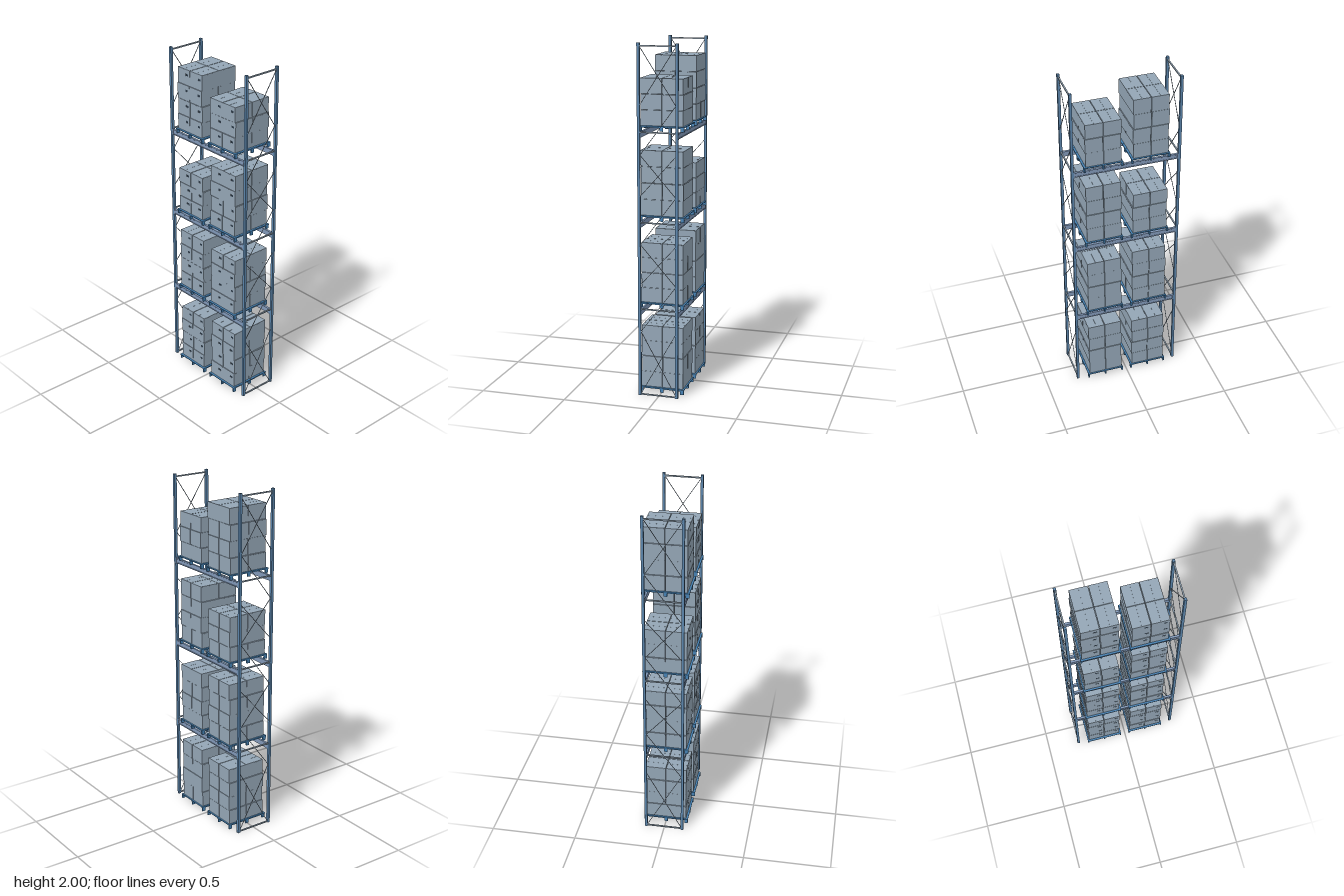
import * as THREE from 'three';

const paint = (color) => new THREE.MeshStandardMaterial({ color });
const postPaint = paint(0x5b84aa);
const beamPaint = paint(0x8198b8);
const tiePaint = paint(0x93a5b5);
const cartonPaint = paint(0x93a5b5);
const slotPaint = paint(0x2c3a48);
const palletPaint = paint(0x4682b4);

// Basic helpers
function box(parent, name, material, w, h, d, x, y, z) {
  const mesh = new THREE.Mesh(new THREE.BoxGeometry(w, h, d), material);
  mesh.name = name;
  mesh.position.set(x, y, z);
  parent.add(mesh);
  return mesh;
}

const toPoints = (list) => list.map(([x, y]) => new THREE.Vector2(x, y));

function brace(parent, name, x, y0, z0, y1, z1, t) {
  const length = Math.hypot(y1 - y0, z1 - z0);
  const bar = box(parent, name, tiePaint, t, length, t, x, (y0 + y1) / 2, (z0 + z1) / 2);
  bar.rotation.x = Math.atan2(z1 - z0, y1 - y0);
}

// Small seeded generator for the uneven stacking
function seeded(seed) {
  let s = seed;
  return () => {
    s = (s * 16807) % 2147483647;
    return s / 2147483647 - 0.5;
  };
}

const BEAM_TOPS = [0.505, 1.01, 1.515];
const POST_Z = 0.1085;
const POST_X = 0.3065;

// End frame: two posts, horizontal ties, crossed and single diagonals
function createEndFrame(side) {
  const frame = new THREE.Group();
  frame.name = side > 0 ? 'leftEndFrame' : 'rightEndFrame';
  const x = side * POST_X;
  const z = 0.102;
  for (const sz of [-1, 1]) {
    box(frame, 'uprightPost', postPaint, 0.015, 2, 0.015, x, 1, sz * POST_Z);
  }
  for (const y of [0.006, 0.513, 1.012, 1.517, 1.984]) {
    box(frame, 'horizontalTie', tiePaint, 0.008, 0.007, 2 * z, x, y, 0);
  }
  for (const [y0, y1] of [[0.01, 0.38], [0.655, 0.885], [1.16, 1.39], [1.665, 1.98]]) {
    brace(frame, 'crossBrace', x - 0.0015, y0, -z, y1, z, 0.003);
    brace(frame, 'crossBrace', x + 0.0015, y0, z, y1, -z, 0.003);
  }
  for (const y of [0.38, 0.885, 1.39]) {
    brace(frame, 'diagonalBrace', x, y, z, y + 0.275, -z, 0.003);
  }
  return frame;
}

// Load beam with a shallow recess along its outer face and end connectors
function createBeam(top, sz) {
  const beam = new THREE.Group();
  beam.name = 'loadBeam';
  const profile = new THREE.Shape(toPoints([[-0.0065, -0.03], [0.0065, -0.03], [0.0065, -0.025],
    [0.0055, -0.024], [0.0055, -0.006], [0.0065, -0.005], [0.0065, 0], [-0.0065, 0]]));
  const geo = new THREE.ExtrudeGeometry(profile, { depth: 0.598, bevelEnabled: false });
  geo.translate(0, 0, -0.299);
  geo.rotateY(-Math.PI / 2);
  const rail = new THREE.Mesh(geo, beamPaint);
  rail.name = 'beamRail';
  if (sz < 0) rail.rotation.y = Math.PI;
  beam.add(rail);
  for (const s of [-1, 1]) {
    box(beam, 'beamConnector', beamPaint, 0.006, 0.034, 0.0145, s * 0.296, -0.015, 0);
  }
  beam.position.set(0, top, sz * 0.109);
  return beam;
}

// Pallet: slatted deck on three bearers with nine feet
function createPallet() {
  const pallet = new THREE.Group();
  pallet.name = 'pallet';
  const slats = 11;
  const pitch = 0.264 / slats;
  for (let i = 0; i < slats; i++) {
    const z = -0.132 + pitch * (i + 0.5);
    box(pallet, 'deckSlat', palletPaint, 0.221, 0.004, pitch - 0.0006, 0, 0.026, z);
  }
  for (const x of [-0.106, 0, 0.106]) {
    box(pallet, 'bearer', palletPaint, 0.008, 0.004, 0.264, x, 0.022, 0);
    for (const z of [-0.121, 0, 0.121]) {
      box(pallet, 'palletFoot', palletPaint, 0.008, 0.02, 0.02, x, 0.01, z);
    }
  }
  return pallet;
}

// Carton: body, two top flaps meeting in the middle, front panel with a hand slot
const CARTON_W = 0.0995;
const CARTON_D = 0.1205;
function createCarton(h) {
  const carton = new THREE.Group();
  carton.name = 'carton';
  const flap = 0.003;
  const panel = 0.004;
  const bodyH = h - flap;
  box(carton, 'cartonBody', cartonPaint, CARTON_W, bodyH, CARTON_D - panel, 0, bodyH / 2, -panel / 2);
  for (const s of [-1, 1]) {
    box(carton, 'topFlap', cartonPaint, CARTON_W / 2 - 0.0006, flap, CARTON_D,
      s * CARTON_W / 4, bodyH + flap / 2, 0);
  }
  const w = CARTON_W / 2;
  const face = new THREE.Shape(toPoints([[-w, 0], [w, 0], [w, bodyH], [-w, bodyH]]));
  const [x0, x1, y0, y1] = [0.016, 0.036, h * 0.59, h * 0.59 + 0.012];
  face.holes.push(new THREE.Path(toPoints([[x0, y0], [x0, y1], [x1, y1], [x1, y0]])));
  const front = new THREE.Mesh(
    new THREE.ExtrudeGeometry(face, { depth: panel, bevelEnabled: false }), cartonPaint);
  front.name = 'slottedPanel';
  front.position.z = CARTON_D / 2 - panel;
  carton.add(front);
  box(carton, 'handSlot', slotPaint, x1 - x0, y1 - y0, 0.003,
    (x0 + x1) / 2, (y0 + y1) / 2, CARTON_D / 2 - 0.0025);
  return carton;
}

// Loaded pallet: layers of two by two cartons, shifted to and fro per layer
function createLoad(layers, h, seed) {
  const load = new THREE.Group();
  load.name = 'loadedPallet';
  load.add(createPallet());
  const rand = seeded(seed);
  const gap = 0.002;
  for (let layer = 0; layer < layers; layer++) {
    const dx = (layer % 2 ? 0.0018 : -0.0018) + rand() * 0.002;
    const dz = (layer % 2 ? -0.001 : 0.001) + rand() * 0.002;
    for (const sx of [-1, 1]) {
      for (const sz of [-1, 1]) {
        const carton = createCarton(h - gap);
        carton.position.set(sx * 0.0512 + dx, 0.029 + layer * h, sz * 0.0615 - 0.002 + dz);
        load.add(carton);
      }
    }
  }
  return load;
}

export function createModel() {
  const model = new THREE.Group();
  model.name = 'palletRack';
  for (const side of [-1, 1]) model.add(createEndFrame(side));
  for (const top of BEAM_TOPS) {
    for (const sz of [-1, 1]) model.add(createBeam(top, sz));
  }
  // Layers and carton height of the two loads on each level, from the floor up
  const loads = [
    [[4, 0.0875], [4, 0.0925]],
    [[4, 0.0925], [4, 0.0875]],
    [[3, 0.0875], [4, 0.0925]],
    [[4, 0.0915], [3, 0.0875]],
  ];
  loads.forEach((pair, level) => pair.forEach(([layers, h], i) => {
    const load = createLoad(layers, h, 7919 * (level * 2 + i + 1) * 31);
    load.position.set(i ? 0.1345 : -0.136, level ? BEAM_TOPS[level - 1] : 0, 0);
    model.add(load);
  }));
  return model;
}
